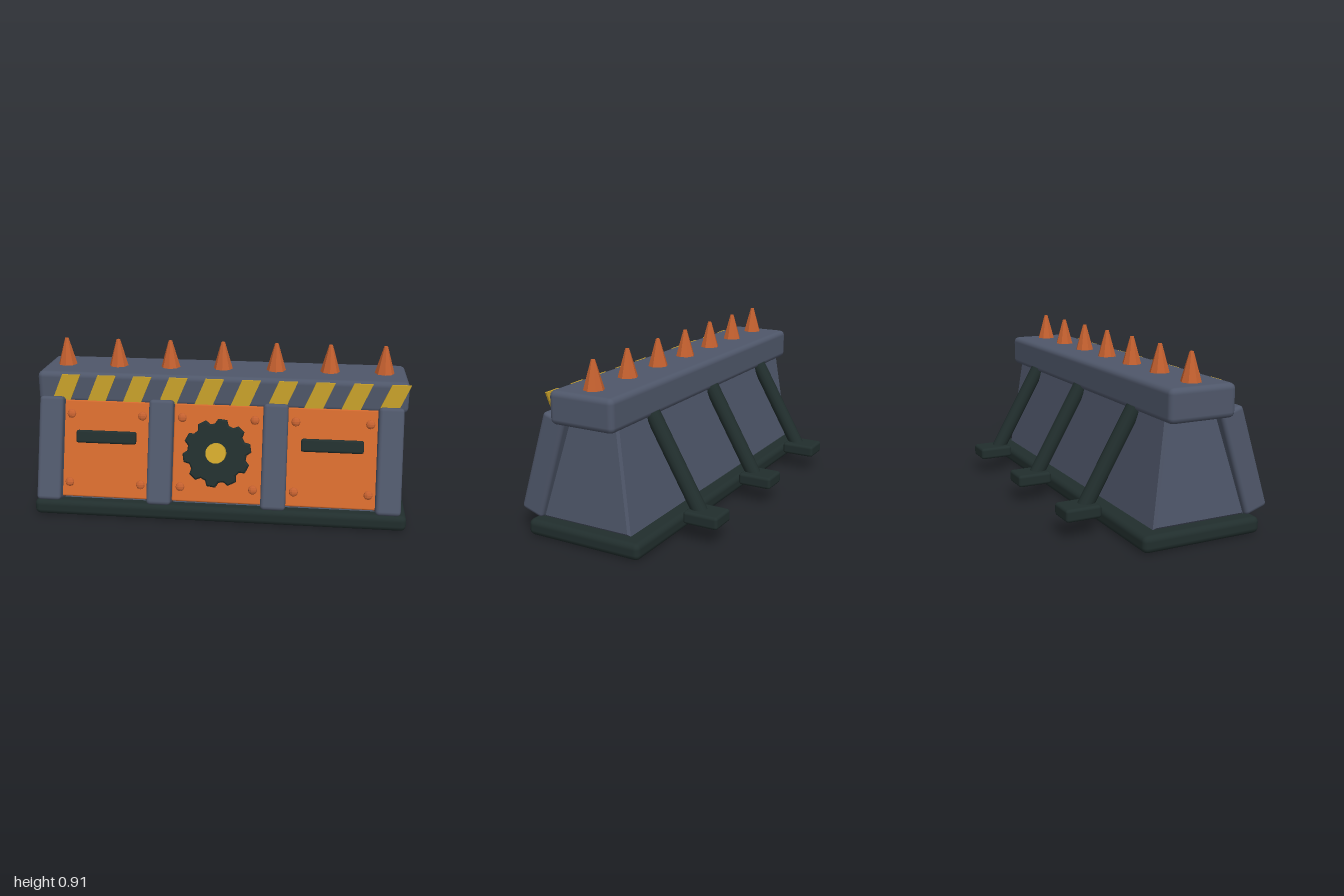
import * as THREE from 'three';
import { RoundedBoxGeometry } from 'three/addons/geometries/RoundedBoxGeometry.js';

const mat = (name, color, flatShading = false) => {
  const m = new THREE.MeshStandardMaterial({ color, flatShading });
  m.name = name;
  return m;
};

export function createModel() {
  const steel = mat('blue steel', 0x4f576a);
  const dark = mat('dark iron', 0x212e2d);
  const orange = mat('orange paint', 0xd2692d);
  const copper = mat('copper', 0xc4602f, true);
  const yellow = mat('hazard yellow', 0xcca42b);

  const model = new THREE.Group();
  model.name = 'barricade';

  const add = (parent, name, geometry, material, x = 0, y = 0, z = 0) => {
    const mesh = new THREE.Mesh(geometry, material);
    mesh.name = name;
    mesh.position.set(x, y, z);
    parent.add(mesh);
    return mesh;
  };
  const box = (w, h, d, r) => new RoundedBoxGeometry(w, h, d, 2, r);

  // Base slab
  add(model, 'base', box(2, 0.086, 0.655, 0.03), dark, 0, 0.046, 0.0925);

  // Wedge body: side profile extruded across x, narrowing towards the top
  const bevel = 0.012, half = 0.94;
  const profile = new THREE.Shape([
    [-0.352, 0.102], [0.138, 0.102], [0.062, 0.63], [-0.19, 0.63],
  ].map(([x, y]) => new THREE.Vector2(x, y)));
  const bodyGeo = new THREE.ExtrudeGeometry(profile, {
    depth: 2 * (half - bevel), bevelEnabled: true,
    bevelSize: bevel, bevelThickness: bevel, bevelSegments: 1,
  });
  bodyGeo.translate(0, 0, -(half - bevel)).rotateY(Math.PI / 2);
  const pos = bodyGeo.attributes.position;
  for (let i = 0; i < pos.count; i++) {
    pos.setX(i, pos.getX(i) * (1 - 0.037 * (pos.getY(i) - 0.09) / 0.53));
  }
  bodyGeo.computeVertexNormals();
  add(model, 'body', bodyGeo, steel);

  // Header beam
  add(model, 'header', box(1.97, 0.17, 0.365, 0.03), steel, 0, 0.685, 0.0815);

  // Slanted hazard stripes on the header
  const stripe = new THREE.Shape([
    [-0.08, -0.0725], [0.018, -0.0725], [0.08, 0.0725], [-0.018, 0.0725],
  ].map(([x, y]) => new THREE.Vector2(x, y)));
  const stripeGeo = new THREE.ExtrudeGeometry(stripe, { depth: 0.0095, bevelEnabled: false });
  for (let i = 0; i < 10; i++) {
    add(model, 'hazardStripe', stripeGeo, yellow, -0.826 + 0.193 * i, 0.688, 0.2635);
  }

  // Spikes along the top
  const spikeGeo = new THREE.CylinderGeometry(0.01, 0.055, 0.155, 8);
  for (let i = -3; i <= 3; i++) {
    add(model, 'spike', spikeGeo, copper, i * 0.288, 0.8375, 0.082);
  }

  // Leaning front face
  const front = new THREE.Group();
  front.name = 'frontFace';
  front.position.set(0, 0.37, 0.343);
  front.rotation.x = -0.311;
  model.add(front);

  for (const x of [-0.895, -0.302, 0.302, 0.895]) {
    add(front, 'pillar', box(0.13, 0.555, 0.13, 0.02), steel, x, 0, 0);
  }

  // Panels with corner bolts
  const boltGeo = new THREE.SphereGeometry(0.024, 10, 6).scale(1, 1, 0.6);
  for (const x of [-0.6, 0, 0.6]) {
    add(front, 'panel', box(0.475, 0.518, 0.07, 0.008), orange, x, 0.002, -0.021);
    for (const sx of [-1, 1]) {
      for (const y of [-0.18, 0.187]) {
        add(front, 'bolt', boltGeo, copper, x + sx * 0.193, y, 0.017);
      }
    }
    if (x) add(front, 'slot', box(0.325, 0.068, 0.036, 0.012), dark, x, 0.067, 0.016);
  }

  // Gear with ten teeth and a round hub
  const teeth = 10, gear = new THREE.Shape();
  for (let i = 0; i < teeth; i++) {
    const mid = THREE.MathUtils.degToRad(10) + (i / teeth) * Math.PI * 2;
    [[-0.2, 0.148], [-0.1, 0.172], [0.1, 0.172], [0.2, 0.148]].forEach(([a, r], k) => {
      const px = Math.cos(mid + a) * r, py = Math.sin(mid + a) * r;
      if (i === 0 && k === 0) gear.moveTo(px, py);
      else gear.lineTo(px, py);
    });
  }
  gear.closePath();
  const gearGeo = new THREE.ExtrudeGeometry(gear, {
    depth: 0.034, bevelEnabled: true, bevelSize: 0.008, bevelThickness: 0.008, bevelSegments: 1,
  });
  add(front, 'gear', gearGeo, dark, 0, 0.008, 0.02);
  const hubGeo = new THREE.CylinderGeometry(0.053, 0.053, 0.05, 20).rotateX(Math.PI / 2);
  add(front, 'hub', hubGeo, yellow, 0, 0.01, 0.078);

  // Rear braces with feet
  const top = new THREE.Vector3(0, 0.615, -0.085);
  const bottom = new THREE.Vector3(0, 0.105, -0.377);
  const strutGeo = new THREE.CylinderGeometry(0.04, 0.04, top.distanceTo(bottom), 12);
  const mid = top.clone().add(bottom).multiplyScalar(0.5);
  const dir = top.clone().sub(bottom).normalize();
  for (const x of [-0.615, 0, 0.615]) {
    const strut = add(model, 'brace', strutGeo, dark, x, mid.y, mid.z);
    strut.quaternion.setFromUnitVectors(new THREE.Vector3(0, 1, 0), dir);
    add(model, 'braceFoot', box(0.15, 0.066, 0.19, 0.016), dark, x, 0.129, -0.39);
  }

  return model;
}
